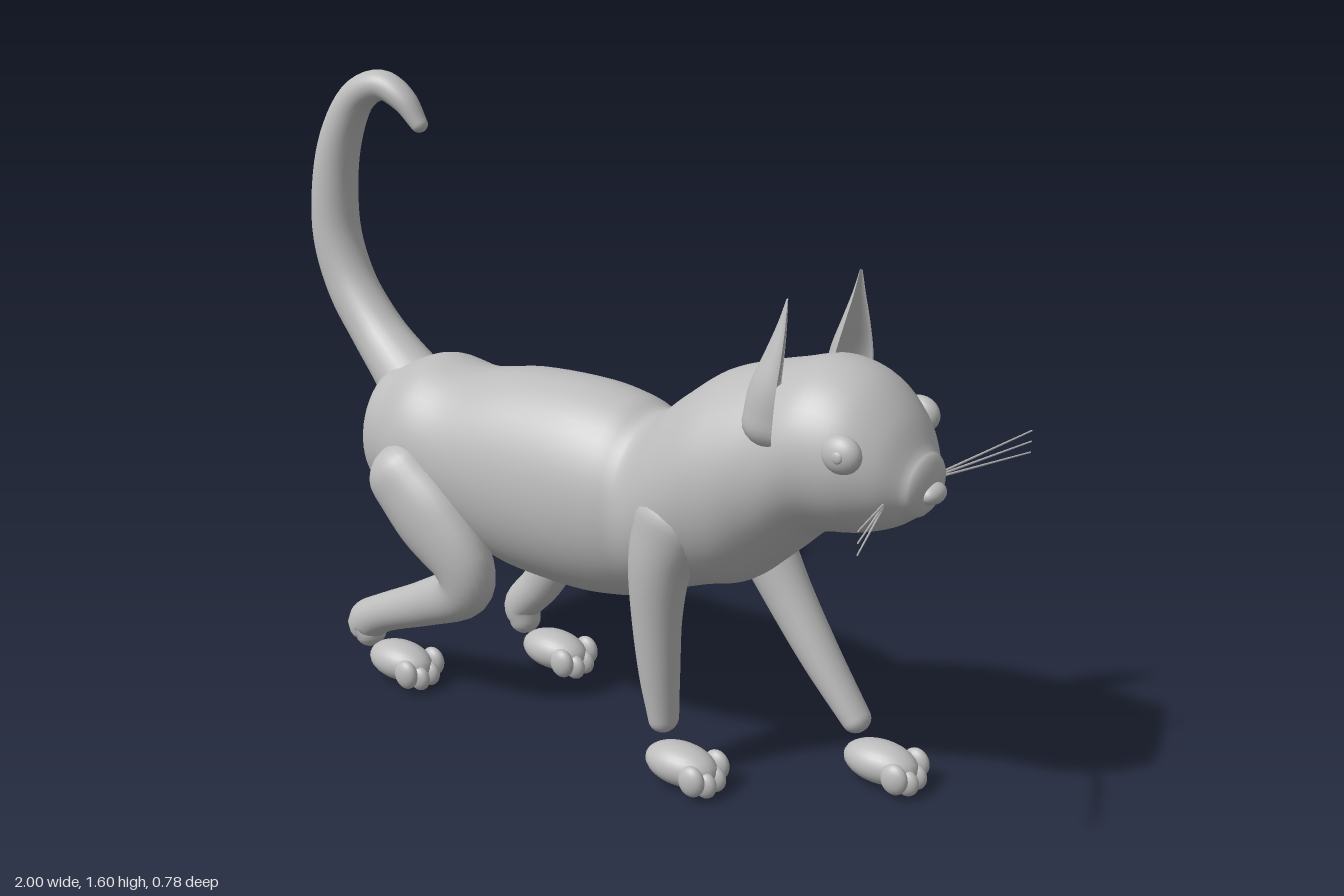
import * as THREE from 'three';

const fur = new THREE.MeshStandardMaterial({ color: 0xbcbcbc });
fur.name = 'grey';

// Smooth skin over elliptical sections. Stations: [x, y, z, in-plane radius, side radius].
function loft(stations, { steps = 5, sides = 28, axis = null, domes = [1, 1], notch = 1 } = {}) {
  const spline = (f) => new THREE.CatmullRomCurve3(stations.map(f), false, 'catmullrom', 0.5);
  const path = spline((s) => new THREE.Vector3(s[0], s[1], s[2]));
  const size = spline((s) => new THREE.Vector3(s[3], s[4], 0));
  const rings = [];
  const ring = (t, shift, scale) => {
    const T = axis ? axis.clone() : path.getTangent(t);
    const S = new THREE.Vector3(0, 0, 1).addScaledVector(T, -T.z).normalize();
    const U = S.clone().cross(T);
    const r = size.getPoint(t);
    const C = path.getPoint(t).addScaledVector(T, shift * Math.min(r.x, r.y));
    rings.push({ C, U, S, a: r.x * scale, b: r.y * scale });
  };
  const D = 6;
  const n = (stations.length - 1) * steps;
  // rounded start, run, rounded end
  for (let k = D; k > 0; k--) {
    const p = (k / D) * Math.PI / 2;
    ring(0, -domes[0] * Math.sin(p), Math.cos(p));
  }
  for (let i = 0; i <= n; i++) ring(i / n, 0, 1);
  for (let k = 1; k <= D; k++) {
    const p = (k / D) * Math.PI / 2;
    ring(1, domes[1] * Math.sin(p), Math.cos(p));
  }
  const pos = [], index = [];
  rings.forEach(({ C, U, S, a, b }, i) => {
    for (let j = 0; j < sides; j++) {
      const q = (j / sides) * Math.PI * 2;
      const c = Math.cos(q) * (Math.cos(q) < 0 ? notch : 1);
      const p = C.clone().addScaledVector(U, a * c).addScaledVector(S, b * Math.sin(q));
      pos.push(p.x, p.y, p.z);
      if (i === rings.length - 1) continue;
      const j2 = (j + 1) % sides;
      const A = i * sides + j, B = i * sides + j2;
      index.push(A, B, A + sides, B, B + sides, A + sides);
    }
  });
  const g = new THREE.BufferGeometry();
  g.setAttribute('position', new THREE.Float32BufferAttribute(pos, 3));
  g.setIndex(index);
  g.computeVertexNormals();
  return g;
}

export function createModel() {
  const cat = new THREE.Group();
  cat.name = 'walkingCat';

  const add = (name, geometry, parent = cat) => {
    const m = new THREE.Mesh(geometry, fur);
    m.name = name;
    parent.add(m);
    return m;
  };
  const ball = new THREE.SphereGeometry(1, 24, 16);
  const blob = (name, p, r, parent) => {
    const m = add(name, ball, parent);
    m.position.set(...p);
    m.scale.set(...r);
    return m;
  };

  // Body, neck and head in upright slices: x, underside, top, half width
  const slices = [
    [-0.6, 0.47, 0.865, 0.17], [-0.5, 0.437, 0.9, 0.21], [-0.37, 0.435, 0.888, 0.213],
    [-0.2, 0.388, 0.92, 0.22], [0, 0.38, 0.93, 0.22], [0.13, 0.395, 0.915, 0.208],
    [0.21, 0.42, 0.893, 0.195], [0.3, 0.46, 0.96, 0.215], [0.4, 0.5, 1.035, 0.23],
    [0.5, 0.535, 1.075, 0.227], [0.6, 0.62, 1.105, 0.213], [0.7, 0.71, 1.13, 0.208],
    [0.8, 0.735, 1.105, 0.19], [0.88, 0.765, 1.035, 0.145], [0.93, 0.8, 0.95, 0.09],
  ];
  add('bodyAndHead', loft(
    slices.map(([x, lo, hi, w]) => [x, (lo + hi) / 2, 0, (hi - lo) / 2, w]),
    { axis: new THREE.Vector3(1, 0, 0), sides: 48, domes: [0.7, 0.4] },
  ));

  // Tail, curling over at the tip
  add('tail', loft([
    [-0.56, 0.75, 0, 0.11, 0.1], [-0.66, 0.82, -0.02, 0.085, 0.085],
    [-0.77, 0.9, -0.04, 0.073, 0.073], [-0.87, 1.01, -0.05, 0.07, 0.068],
    [-0.925, 1.14, -0.055, 0.067, 0.066], [-0.932, 1.28, -0.06, 0.062, 0.063],
    [-0.91, 1.41, -0.067, 0.056, 0.058], [-0.855, 1.52, -0.075, 0.048, 0.05],
    [-0.77, 1.565, -0.08, 0.04, 0.043], [-0.695, 1.535, -0.085, 0.033, 0.036],
    [-0.645, 1.475, -0.09, 0.022, 0.024],
  ]));

  // Legs
  add('frontLegLeft', loft([
    [0.36, 0.7, 0.16, 0.1, 0.075], [0.33, 0.58, 0.165, 0.08, 0.07],
    [0.322, 0.44, 0.163, 0.063, 0.06], [0.328, 0.29, 0.158, 0.05, 0.052],
    [0.34, 0.17, 0.155, 0.036, 0.042],
  ]));
  add('frontLegRight', loft([
    [0.34, 0.7, -0.16, 0.1, 0.075], [0.4, 0.57, -0.165, 0.08, 0.07],
    [0.48, 0.44, -0.163, 0.064, 0.06], [0.59, 0.29, -0.158, 0.05, 0.052],
    [0.7, 0.155, -0.155, 0.035, 0.042],
  ]));
  add('hindLegLeft', loft([
    [-0.48, 0.62, 0.185, 0.1, 0.085], [-0.38, 0.53, 0.19, 0.11, 0.08],
    [-0.285, 0.43, 0.185, 0.09, 0.07], [-0.29, 0.345, 0.175, 0.075, 0.065],
    [-0.42, 0.27, 0.165, 0.062, 0.058], [-0.58, 0.195, 0.157, 0.053, 0.053],
    [-0.66, 0.145, 0.155, 0.055, 0.052], [-0.65, 0.115, 0.155, 0.04, 0.045],
  ]));
  add('hindLegRight', loft([
    [-0.48, 0.62, -0.185, 0.1, 0.085], [-0.38, 0.53, -0.19, 0.11, 0.08],
    [-0.285, 0.44, -0.185, 0.09, 0.07], [-0.26, 0.35, -0.175, 0.068, 0.062],
    [-0.3, 0.25, -0.162, 0.057, 0.055], [-0.365, 0.17, -0.155, 0.052, 0.052],
    [-0.36, 0.125, -0.155, 0.042, 0.045],
  ]));

  // Paws with four toes each
  const paws = [['frontPawLeft', 0.395, 1], ['frontPawRight', 0.775, -1],
    ['hindPawLeft', -0.54, 1], ['hindPawRight', -0.255, -1]];
  for (const [name, x, side] of paws) {
    const paw = new THREE.Group();
    paw.name = name;
    paw.position.set(x, 0, side * 0.155);
    cat.add(paw);
    blob('pad', [0, 0.062, 0], [0.1, 0.052, 0.062], paw);
    for (const s of [-1, 1]) {
      blob('outerToe', [0.068, 0.058, s * 0.053], [0.036, 0.04, 0.022], paw);
      blob('innerToe', [0.085, 0.04, s * 0.02], [0.032, 0.034, 0.021], paw);
    }
  }

  for (const s of [-1, 1]) {
    const label = s > 0 ? 'Left' : 'Right';

    // Hollow pointed ear, opening forward and inward
    const ear = add('ear' + label, loft([
      [-0.005, 1.0, 0, 0.075, 0.058], [0, 1.08, 0, 0.066, 0.054],
      [0.008, 1.16, 0, 0.042, 0.036], [0.013, 1.23, 0, 0.02, 0.017],
      [0.015, 1.287, 0, 0.004, 0.004],
    ], { notch: -0.35 }));
    ear.position.set(0.645, 0, s * 0.16);
    ear.rotation.y = s * 0.45;

    // Eye with a small raised pupil
    blob('eye' + label, [0.82, 0.97, s * 0.172], [0.05, 0.045, 0.032]);
    blob('pupil' + label, [0.826, 0.972, s * 0.201], [0.014, 0.014, 0.006]);

    // Whiskers
    for (let i = 0; i < 3; i++) {
      const from = new THREE.Vector3(0.9, 0.848 + i * 0.004, s * 0.12);
      const to = new THREE.Vector3(0.998, 0.853 + i * 0.027, s * 0.39);
      const dir = to.clone().sub(from);
      const w = add('whisker' + label, new THREE.CylinderGeometry(0.002, 0.003, dir.length(), 6));
      w.position.copy(from).add(to).multiplyScalar(0.5);
      w.quaternion.setFromUnitVectors(new THREE.Vector3(0, 1, 0), dir.normalize());
    }
  }
  blob('nose', [0.957, 0.86, 0], [0.027, 0.025, 0.041]);

  return cat;
}
